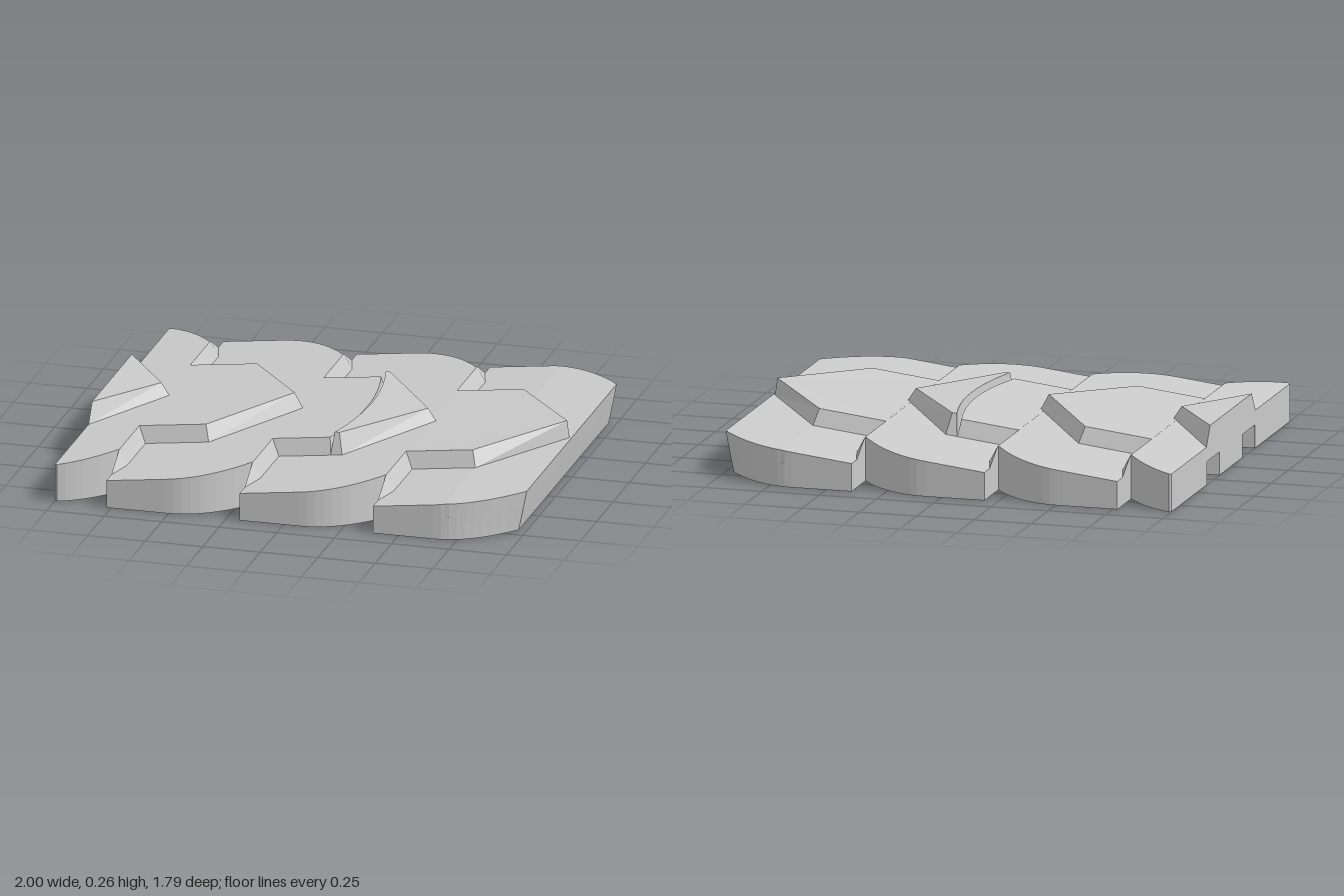
import * as THREE from 'three';

const PITCH = 0.58, SLOPE = 0.12, SPLIT = 0.1;
const material = new THREE.MeshStandardMaterial({ color: 0xcccccc, flatShading: true });

// Mirror a half outline of [x, z] (z >= 0) into a closed loop
const loop = half => [...half, ...[...half].reverse().filter(p => p[1] > 0).map(([x, z]) => [x, -z])];

// The far end of the plate leans inward towards the ground
function finish(name, geo) {
  const g = geo.index ? geo.toNonIndexed() : geo;
  const p = g.attributes.position;
  for (let i = 0; i < p.count; i++) {
    const x = p.getX(i), y = p.getY(i);
    if (x > 0.7) p.setX(i, x - 0.035 * Math.max(0, 1 - y / 0.17) * (x - 0.7) / 0.3);
  }
  g.computeVertexNormals();
  const mesh = new THREE.Mesh(g, material);
  mesh.name = name;
  return mesh;
}

// Solid between two matching outlines whose heights follow functions of x
function loft(name, lowHalf, highHalf, lowY, highY) {
  const low = loop(lowHalf), high = loop(highHalf), n = low.length;
  const pos = [], idx = [];
  low.forEach(([x, z]) => pos.push(x, lowY(x), z));
  high.forEach(([x, z]) => pos.push(x, highY(x), z));
  for (let i = 0; i < n; i++) {
    const j = (i + 1) % n;
    idx.push(i, j, n + j, i, n + j, n + i);
  }
  const cap = o => THREE.ShapeUtils.triangulateShape(o.map(([x, z]) => new THREE.Vector2(x, -z)), []);
  cap(high).forEach(([a, b, c]) => idx.push(n + a, n + b, n + c));
  cap(low).forEach(([a, b, c]) => idx.push(a, c, b));
  const g = new THREE.BufferGeometry();
  g.setAttribute('position', new THREE.Float32BufferAttribute(pos, 3));
  g.setIndex(idx);
  return finish(name, g);
}

// Outer edge of one wing: straight side, then a rounded trailing corner
function wingEdge(x0, length) {
  const curve = new THREE.QuadraticBezierCurve(
    new THREE.Vector2(x0 + 0.26, 0.895),
    new THREE.Vector2(x0 + 0.43, 0.895),
    new THREE.Vector2(x0 + length, 0.69));
  const pts = [[x0, 0.895], ...curve.getPoints(10).map(p => [p.x, p.y])];
  return x0 < -1 ? [[-1, 0.87], ...pts.filter(p => p[0] > -0.99)] : pts;
}

// Cross-shaped socket outline
function cross(cx, cz, r = 0.09, w = 0.035) {
  const pts = [[-w, -r], [w, -r], [w, -w], [r, -w], [r, w], [w, w],
    [w, r], [-w, r], [-w, w], [-r, w], [-r, -w], [-w, -w]];
  return pts.map(([x, z]) => [cx + x, cz + z]);
}

const starts = [-1.35, -0.77, -0.19, 0.39];
const lengthOf = k => (k === 3 ? 0.61 : PITCH);
const wingTop = x0 => x => 0.12 + SLOPE * (x - x0) - (x > 0.7 ? 0.06 * (x - 0.7) : 0);

function basePlate() {
  // Open half sockets at the near end, followed by the scalloped side
  const half = [[-1, 0.17], [-0.925, 0.17], [-0.925, 0.225], [-0.87, 0.225], [-0.87, 0.295],
    [-0.925, 0.295], [-0.925, 0.35], [-1, 0.35]];
  starts.forEach((x0, k) => half.push(...wingEdge(x0, lengthOf(k))));
  const v = pts => pts.map(([x, z]) => new THREE.Vector2(x, -z));
  const shape = new THREE.Shape(v(loop(half)));
  const slot = [[0.1, -0.19], [0.14, -0.19], [0.14, 0.19], [0.1, 0.19]];
  for (const h of [cross(0.2, 0.26), cross(0.2, -0.26), slot]) shape.holes.push(new THREE.Path(v(h)));
  const g = new THREE.ExtrudeGeometry(shape, { depth: SPLIT, bevelEnabled: false });
  g.rotateX(-Math.PI / 2);
  return finish('basePlate', g);
}

export function createModel() {
  const group = new THREE.Group();
  group.add(basePlate());

  // Sloping wing plates, each stepping down to the next
  starts.forEach((x0, k) => {
    const edge = wingEdge(x0, lengthOf(k));
    const end = x0 + lengthOf(k);
    const slab = half => group.add(loft('wingPlate', half, half, () => SPLIT, wingTop(x0)));
    if (k < 3) {
      slab([[Math.max(x0, -1), 0], ...edge, [end, 0]]);
    } else {
      // The last plate bends gently flatter
      slab([[x0, 0], ...edge.filter(p => p[0] < 0.695), [0.7, 0.889], [0.7, 0]]);
      slab([[0.7, 0], [0.7, 0.889], ...edge.filter(p => p[0] > 0.705), [end, 0]]);
    }
  });

  // Raised pointed tongues with flared walls
  const lowRear = [[0, 0.82], [0.035, 0.7], [0.035, 0.42]];
  const highRear = [[0, 0.7], [0, 0.69], [0, 0.39]];
  const lowTip = [[0.31, 0.42], [0.6, 0]], highTip = [[0.29, 0.39], [0.565, 0]];
  const at = (x0, pts) => pts.map(([x, z]) => [x0 + x, z]);
  const flat = () => 0.245;
  const rise = x0 => x => 0.19 + SLOPE * (x - x0);

  // Cropped tongue at the near end
  group.add(loft('nearTongue', [[-1, 0], [-1, 0.36], [-0.75, 0]], [[-1, 0], [-1, 0.305], [-0.785, 0]],
    wingTop(-1.35), flat));

  // Full tongue
  group.add(loft('tongue', at(-0.77, [...lowRear, ...lowTip]), at(-0.77, [...highRear, ...highTip]),
    wingTop(-0.77), rise(-0.77)));

  // Split tongue: sloping rear and level insert with a curved groove between
  const arc = (width, shift) => Array.from({ length: 9 }, (_, i) => {
    const t = 1 - i / 8;
    return [0.25 + shift + 0.05 * (1 - t * t), width * t];
  });
  group.add(loft('splitTongueRear', at(-0.19, [...lowRear, ...arc(0.42, 0.01)]),
    at(-0.19, [...highRear, ...arc(0.39, 0)]), wingTop(-0.19), rise(-0.19)));
  group.add(loft('tongueInsert', at(-0.19, [...arc(0.42, 0.01).reverse(), ...lowTip]),
    at(-0.19, [...arc(0.39, 0.02).reverse(), ...highTip]), wingTop(-0.19), flat));

  // Far tongue, flattening towards its tip
  group.add(loft('farTongue', at(0.39, [...lowRear, ...lowTip]),
    at(0.39, [...highRear, [0.29, 0.39], [0.59, 0]]), wingTop(0.39),
    x => rise(0.39)(x) - Math.max(0, x - 0.7) * 0.04));
  return group;
}
